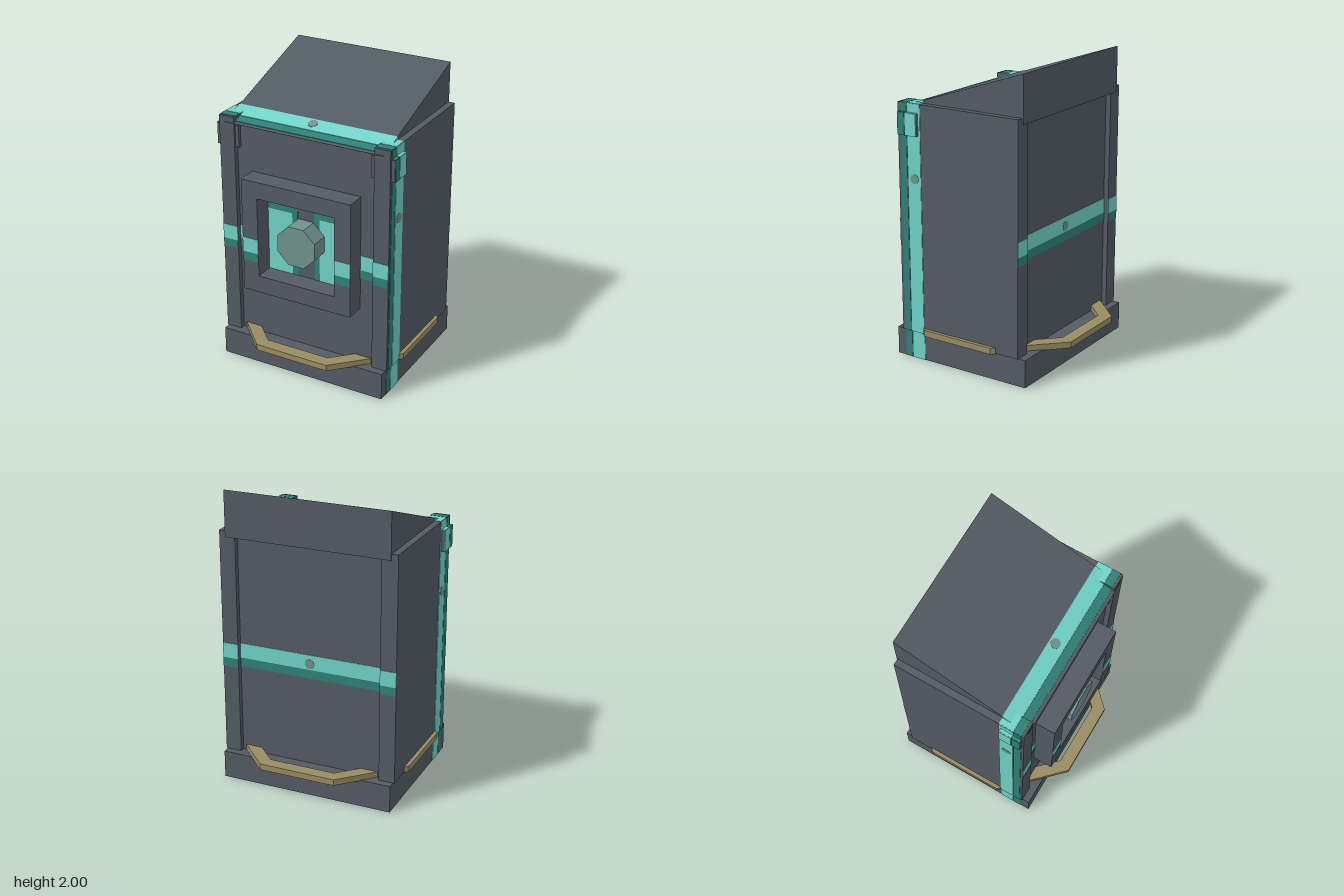
import * as THREE from 'three';

const flat = (name, color) => {
  const m = new THREE.MeshStandardMaterial({ color });
  m.name = name;
  return m;
};

export function createModel() {
  const model = new THREE.Group();
  model.name = 'storageBin';
  const grey = flat('slate grey', 0x535b63);
  const light = flat('light teal', 0x70d3c8);
  const dark = flat('dark teal', 0x2f8078);
  const gold = flat('dull gold', 0x998c62);
  const knobGrey = flat('grey green', 0x70928c);

  const add = (name, geometry, material) => {
    const mesh = new THREE.Mesh(geometry, material);
    mesh.name = name;
    model.add(mesh);
    return mesh;
  };
  // Box given by its limits on each axis
  const box = (name, mat, x0, x1, y0, y1, z0, z1) =>
    add(name, new THREE.BoxGeometry(x1 - x0, y1 - y0, z1 - z0)
      .translate((x0 + x1) / 2, (y0 + y1) / 2, (z0 + z1) / 2), mat);
  // Profile of [z, y] points extruded along x, centred
  const alongX = (name, mat, points, width) => {
    const shape = new THREE.Shape(points.map(p => new THREE.Vector2(...p)));
    const g = new THREE.ExtrudeGeometry(shape, { depth: width, bevelEnabled: false });
    return add(name, g.translate(0, 0, -width / 2).rotateY(-Math.PI / 2), mat);
  };
  const octagon = (apothem) => Array.from({ length: 8 }, (_, i) => {
    const a = (i + 0.5) * Math.PI / 4, r = apothem / Math.cos(Math.PI / 8);
    return new THREE.Vector2(r * Math.cos(a), r * Math.sin(a));
  });
  const T = 0.003; // painted plate thickness

  // Base, body core and side walls
  box('base', grey, -0.6, 0.6, 0.002, 0.19, -0.505, 0.505);
  box('body', grey, -0.5, 0.5, 0.19, 1.69, -0.42, 0.42);
  for (const s of [-1, 1]) {
    const [a, b] = s < 0 ? [-0.61, -0.5] : [0.5, 0.61];
    box('sideWall', grey, a, b, 0.19, 1.73, -0.455, 0.455);
    const [c, d] = s < 0 ? [-0.635, -0.475] : [0.475, 0.635];
    box('cornerBracket', grey, c, d, 1.525, 1.67, 0.295, 0.442);
  }

  // Sloped lid
  const roofY = z => 1.69 + (0.46 - z) * 0.337;
  alongX('lid', grey, [[0.46, 1.69], [-0.463, 1.69], [-0.463, 2]], 1.13);

  // Octagonal carrying rail passing through the body
  const rail = new THREE.Shape(octagon(0.635));
  rail.holes.push(new THREE.Path(octagon(0.55)));
  add('carryRail', new THREE.ExtrudeGeometry(rail, { depth: 0.042, bevelEnabled: false })
    .rotateX(-Math.PI / 2).translate(0, 0.186, 0), gold);

  // Front frame with square opening
  const frame = new THREE.Shape([[-0.395, 0.58], [0.395, 0.58], [0.395, 1.37], [-0.395, 1.37]]
    .map(p => new THREE.Vector2(...p)));
  frame.holes.push(new THREE.Path([[-0.28, 0.7], [-0.28, 1.255], [0.28, 1.255], [0.28, 0.7]]
    .map(p => new THREE.Vector2(...p))));
  add('frontFrame', new THREE.ExtrudeGeometry(frame, { depth: 0.135, bevelEnabled: false })
    .translate(0, 0, 0.42), grey);

  // Painted blocks inside the frame and the knob
  for (const s of [-1, 1]) {
    const span = (name, mat, a, b, y0, y1) =>
      box(name, mat, Math.min(s * a, s * b), Math.max(s * a, s * b), y0, y1, 0.42, 0.42 + T);
    span('recessPaint', light, 0.1, 0.28, 0.7, 1.14);
    span('recessShade', dark, 0.06, 0.1, 0.7, 1.14);
    span('recessTopShade', dark, 0.06, 0.28, 1.14, 1.185);
  }
  add('knob', new THREE.ExtrudeGeometry(new THREE.Shape(octagon(0.136)),
    { depth: 0.13, bevelEnabled: false }).translate(0, 0.975, 0.42), knobGrey);

  // Horizontal stripe on front and back
  for (const [mat, y0, y1] of [[light, 0.86, 0.962], [dark, 0.8, 0.86]]) {
    for (const s of [-1, 1]) {
      const span = (name, a, b, z0) =>
        box(name, mat, Math.min(s * a, s * b), Math.max(s * a, s * b), y0, y1, z0, z0 + T);
      span('frontStripe', 0.395, 0.5, 0.42);
      span('frameStripe', 0.28, 0.395, 0.555);
      span('wallFrontStripe', 0.5, 0.61, 0.455);
      span('wallBackStripe', 0.5, 0.61, -0.455 - T);
    }
    box('backStripe', mat, -0.5, 0.5, y0, y1, -0.42 - T, -0.42);
  }

  // Upright stripe looping round the sides, lid and underside
  for (const [mat, z0, z1] of [[light, 0.28, 0.38], [dark, 0.385, 0.437]]) {
    alongX('lidStripe', mat, [[z1, roofY(z1) - 0.02], [z0, roofY(z0) - 0.06],
      [z0, roofY(z0) + T], [z1, roofY(z1) + T]], 1.136);
    box('undersideStripe', mat, -0.6, 0.6, 0, 0.002, z0, z1);
    const zb = Math.max(z0, 0.295);
    for (const s of [-1, 1]) {
      const span = (name, a, b, y0, y1, za) =>
        box(name, mat, Math.min(s * a, s * b), Math.max(s * a, s * b), y0, y1, za, z1);
      span('baseSideStripe', 0.6, 0.6 + T, 0.002, 0.19, z0);
      span('wallSideStripe', 0.61, 0.61 + T, 0.19, 1.73, z0);
      span('wallTopStripe', 0.5, 0.61, 1.73, 1.73 + T, z0);
      span('bracketSideStripe', 0.635, 0.635 + T, 1.525, 1.67, zb);
      span('bracketTopStripe', 0.475, 0.635, 1.67, 1.67 + T, zb);
    }
  }

  // Small worn patches on the stripes
  const patch = (x, y, z, rx, ry) => {
    const g = new THREE.CylinderGeometry(0.034, 0.034, 0.006, 8).rotateX(Math.PI / 2);
    const m = add('wornPatch', g, knobGrey);
    m.position.set(x, y, z);
    m.rotation.set(rx, ry, 0);
  };
  patch(0, 0.9, -0.422, 0, 0);
  patch(0, roofY(0.32) + 0.002, 0.32, Math.PI / 2 + Math.atan(0.337), 0);
  for (const s of [-1, 1]) patch(s * 0.612, 1.24, 0.33, 0, Math.PI / 2);

  return model;
}
